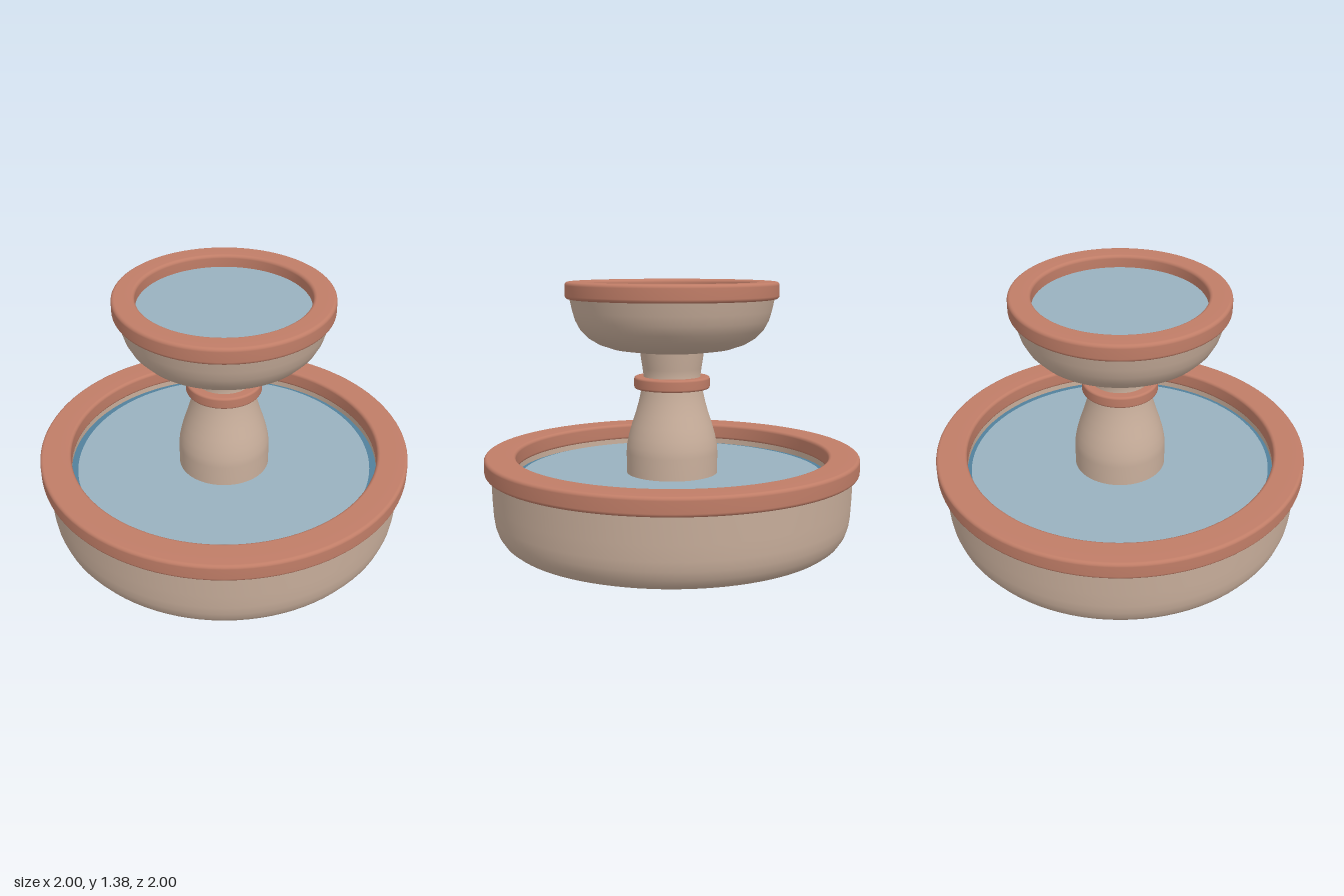
import * as THREE from 'three';

const SEG = 96;

function material(name, color) {
  const m = new THREE.MeshStandardMaterial({ color });
  m.name = name;
  return m;
}

// Rounded-rectangle ring section, running up the outside, over the top and down the inside
function ringProfile(inner, outer, bottom, top, radius) {
  const pts = [];
  const corners = [
    [outer - radius, bottom + radius, -0.5],
    [outer - radius, top - radius, 0],
    [inner + radius, top - radius, 0.5],
    [inner + radius, bottom + radius, 1],
  ];
  for (const [r, y, start] of corners) {
    for (let i = 0; i <= 4; i++) {
      const a = (start + i / 8) * Math.PI;
      pts.push([r + radius * Math.cos(a), y + radius * Math.sin(a)]);
    }
  }
  pts.push(pts[0]);
  return pts;
}

export function createModel() {
  const stone = material('stone', 0xc8ae9b);
  const clay = material('terracotta', 0xc07d67);
  const water = material('water', 0x98b1be);
  const deepWater = material('deep water', 0x51809b);
  const group = new THREE.Group();

  function add(name, geometry, mat) {
    const mesh = new THREE.Mesh(geometry, mat);
    mesh.name = name;
    group.add(mesh);
    return mesh;
  }
  // A repeated profile point gives a sharp edge
  function lathe(name, profile, mat) {
    const pts = profile.map(([r, y]) => new THREE.Vector2(r, y));
    return add(name, new THREE.LatheGeometry(pts, SEG), mat);
  }
  function disc(name, radius, y, mat, up = true) {
    const mesh = add(name, new THREE.CircleGeometry(radius, SEG), mat);
    mesh.rotation.x = up ? -Math.PI / 2 : Math.PI / 2;
    mesh.position.y = y;
    return mesh;
  }

  // Lower basin
  lathe('lowerBasin', [
    [0.775, 0.012], [0.775, 0], [0.775, 0], [0.86, 0], [0.885, 0.008], [0.91, 0.028],
    [0.935, 0.065], [0.95, 0.11], [0.957, 0.16], [0.961, 0.24], [0.966, 0.385],
    [0.966, 0.385], [0.84, 0.385], [0.84, 0.385], [0.84, 0.33],
  ], stone);
  lathe('lowerRim', ringProfile(0.835, 1, 0.375, 0.47, 0.018), clay);
  disc('basinFloor', 0.78, 0.01, deepWater, false);
  disc('lowerWaterEdge', 0.842, 0.35, deepWater);
  const pool = disc('lowerWater', 0.81, 0.356, water);
  pool.scale.set(0.99, 1.01, 1);

  // Pedestal and collar
  lathe('pedestal', [
    [0.245, 0.33], [0.245, 0.47], [0.242, 0.51], [0.232, 0.56], [0.215, 0.62],
    [0.195, 0.68], [0.178, 0.74], [0.167, 0.79], [0.16, 0.84], [0.152, 0.88],
    [0.157, 0.92], [0.165, 0.97], [0.172, 1.03],
  ], stone);
  lathe('collar', ringProfile(0.13, 0.202, 0.812, 0.876, 0.012), clay);

  // Upper bowl
  lathe('upperBowl', [
    [0, 1.012], [0.17, 1.012], [0.24, 1.016], [0.32, 1.028], [0.39, 1.052],
    [0.445, 1.085], [0.485, 1.128], [0.51, 1.175], [0.525, 1.225], [0.54, 1.295],
    [0.54, 1.295], [0.45, 1.295],
  ], stone);
  lathe('upperRim', ringProfile(0.445, 0.563, 1.288, 1.377, 0.018), clay);
  disc('upperWater', 0.452, 1.31, water);

  return group;
}
